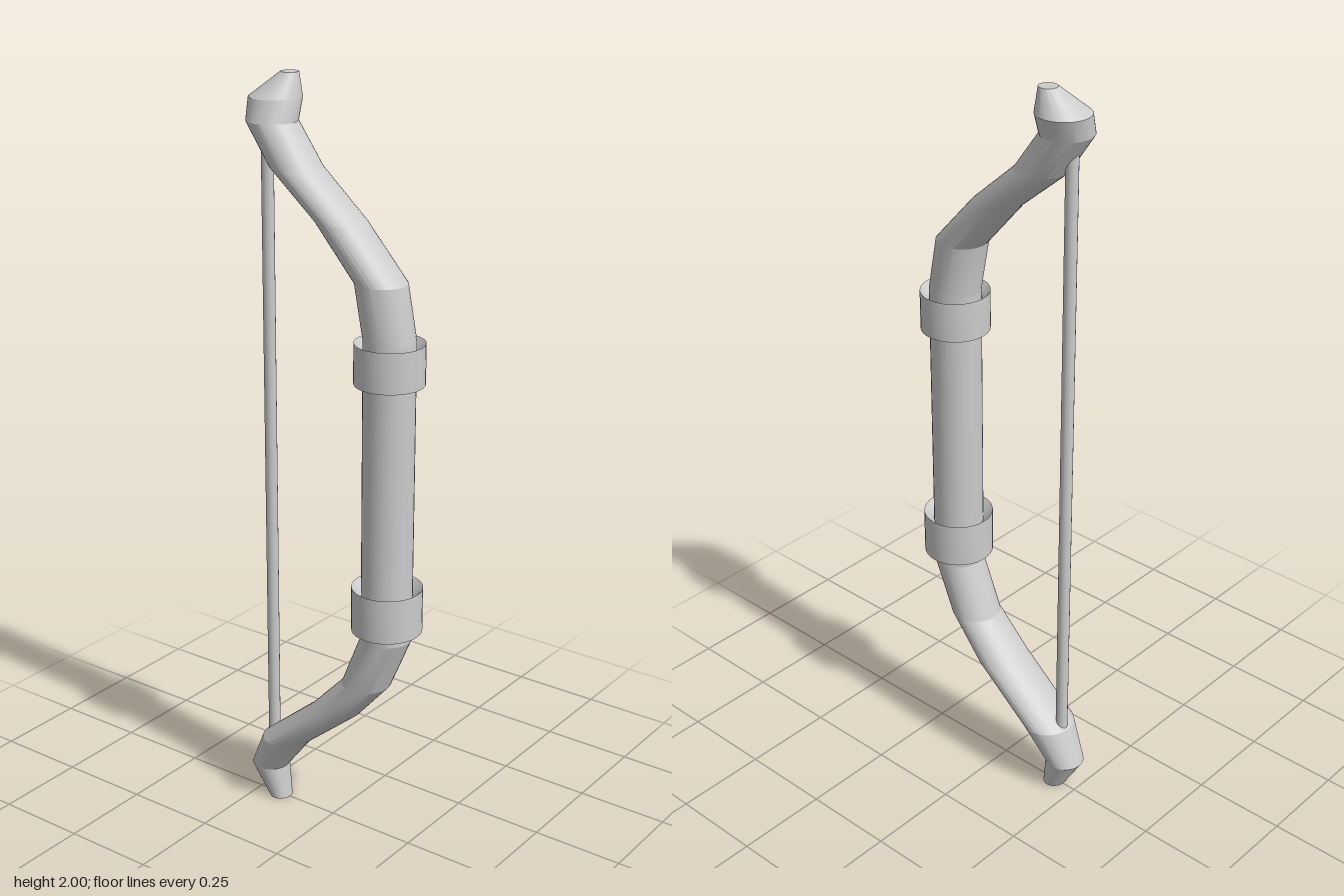
import * as THREE from 'three';
import { toCreasedNormals } from 'three/addons/utils/BufferGeometryUtils.js';

const SIDES = 32;

// Closed loft through level elliptical rings, each [y, xMin, xMax, zHalf, zCentre]
function loft(rings) {
  const pos = [], index = [];
  for (const [y, x0, x1, rz, cz = 0] of rings) {
    for (let i = 0; i < SIDES; i++) {
      const a = (i / SIDES) * Math.PI * 2;
      pos.push((x0 + x1) / 2 + Math.cos(a) * (x1 - x0) / 2, y, cz + Math.sin(a) * rz);
    }
  }
  for (let r = 0; r < rings.length - 1; r++) {
    for (let i = 0; i < SIDES; i++) {
      const j = (i + 1) % SIDES, a = r * SIDES, b = a + SIDES;
      index.push(a + i, b + i, a + j, a + j, b + i, b + j);
    }
  }
  // end caps
  const top = (rings.length - 1) * SIDES;
  for (let i = 1; i < SIDES - 1; i++) {
    index.push(0, i, i + 1, top, top + i + 1, top + i);
  }
  const g = new THREE.BufferGeometry();
  g.setAttribute('position', new THREE.Float32BufferAttribute(pos, 3));
  g.setIndex(index);
  return toCreasedNormals(g, 0.25);
}

export function createModel() {
  const bow = new THREE.Group();
  bow.name = 'bow';
  const grey = new THREE.MeshStandardMaterial({ color: 0xcccccc });
  const add = (name, geometry, x = 0, y = 0, z = 0) => {
    const mesh = new THREE.Mesh(geometry, grey);
    mesh.name = name;
    mesh.position.set(x, y, z);
    bow.add(mesh);
  };

  // Lower limb, from the tip up to the grip
  add('lowerLimb', loft([
    [0, -0.21, -0.15, 0.033],
    [0.093, -0.266, -0.163, 0.052],
    [0.195, -0.222, -0.085, 0.073],
    [0.33, -0.06, 0.078, 0.073],
    [0.44, 0.045, 0.174, 0.067],
    [0.59, 0.105, 0.238, 0.066],
    [0.675, 0.105, 0.238, 0.066],
  ]));

  // Straight grip between the collars
  add('grip', loft([[0.675, 0.105, 0.238, 0.066], [1.335, 0.105, 0.238, 0.066]]));

  // Upper limb, ending in a hooked tip leaning to the back
  add('upperLimb', loft([
    [1.335, 0.105, 0.238, 0.066],
    [1.39, 0.105, 0.238, 0.066],
    [1.53, 0.078, 0.211, 0.066],
    [1.665, -0.04, 0.088, 0.066],
    [1.78, -0.178, -0.043, 0.066],
    [1.885, -0.25, -0.12, 0.066],
    [1.94, -0.257, -0.122, 0.067, -0.02],
    [2, -0.184, -0.137, 0.023, -0.04],
  ]));

  // Collars: round bands whose ends slope inward to the grip
  const collar = (name, y0, y1, r) => {
    const h = (y1 - y0) / 2, dip = 0.035;
    const profile = [[0.06, dip - h], [r, -h], [r, h], [0.06, h - dip]]
      .map(([x, y]) => new THREE.Vector2(x, y));
    add(name, toCreasedNormals(new THREE.LatheGeometry(profile, SIDES), 0.5),
      0.172, (y0 + y1) / 2, 0);
  };
  collar('lowerCollar', 0.615, 0.735, 0.092);
  collar('upperCollar', 1.28, 1.385, 0.089);

  // Bowstring
  add('bowstring', new THREE.CylinderGeometry(0.016, 0.016, 1.67, 16), -0.201, 1.015, 0);

  return bow;
}
